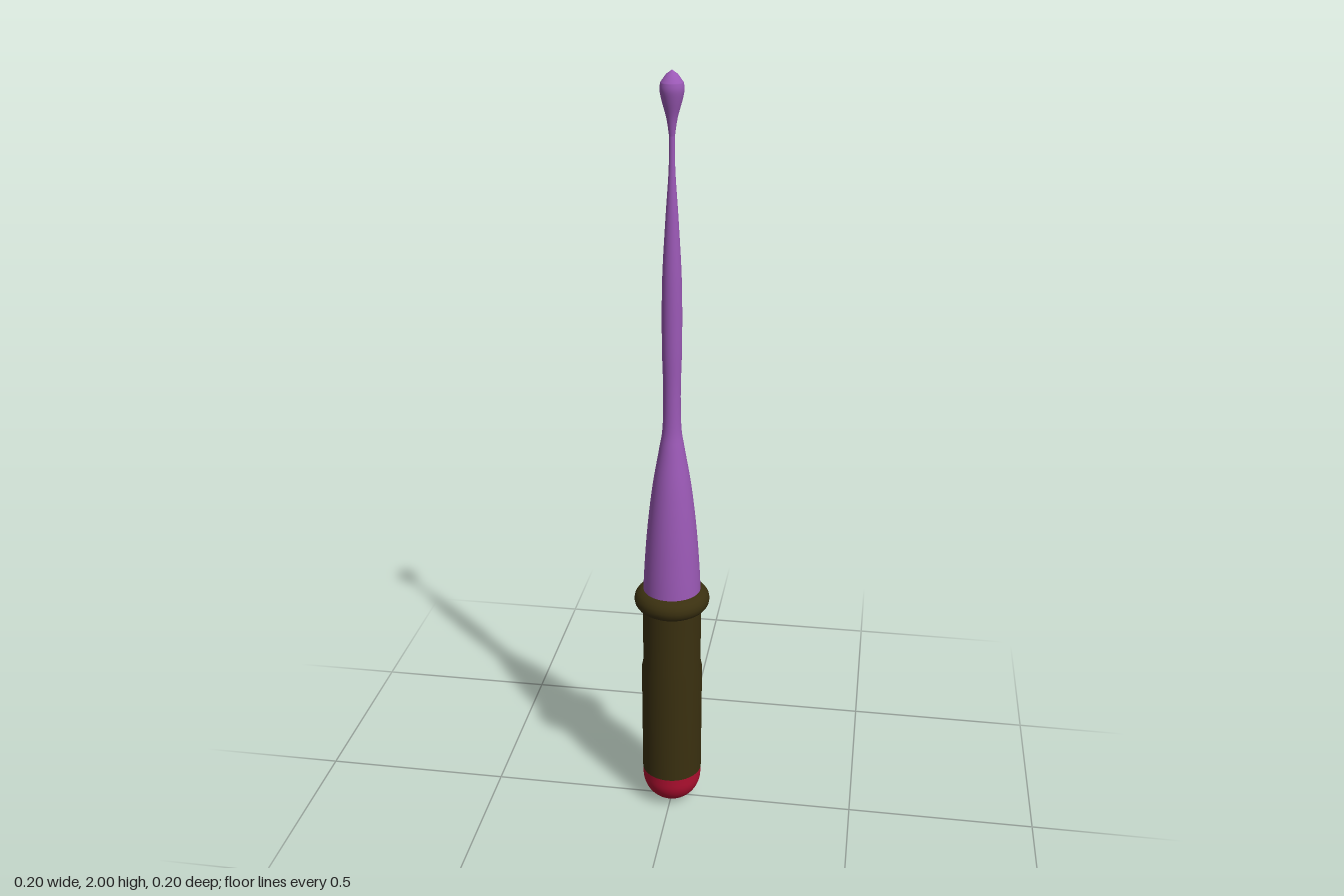
import * as THREE from 'three';

const SEGMENTS = 48;
const points = (list) => list.map(([r, y]) => new THREE.Vector2(r, y));

// Smooth profile through [radius, height] pairs
const smooth = (list, n) =>
  new THREE.SplineCurve(points(list)).getPoints(n).map((p) => p.setX(Math.max(p.x, 0)));

function lathe(name, profile, color) {
  const mesh = new THREE.Mesh(
    new THREE.LatheGeometry(profile, SEGMENTS),
    new THREE.MeshStandardMaterial({ color, side: THREE.DoubleSide })
  );
  mesh.name = name;
  return mesh;
}

export function createModel() {
  const model = new THREE.Group();
  model.name = 'slenderTool';
  const purple = 0x9b59b6, brown = 0x3a3010, red = 0xb01030;

  // Rounded end cap: an elliptical bowl with a short straight rim
  const cap = [];
  for (let i = 0; i <= 14; i++) {
    const a = (i / 14) * Math.PI / 2;
    cap.push(new THREE.Vector2(0.08 * Math.sin(a), 0.08 * (1 - Math.cos(a))));
  }
  cap.push(new THREE.Vector2(0.081, 0.1));
  model.add(lathe('endCap', cap, red));

  // Straight grip
  model.add(lathe('grip', points([[0.081, 0.1], [0.082, 0.42], [0.078, 0.44], [0.077, 0.64]]), brown));

  // Round collar between grip and shaft
  const collar = new THREE.Mesh(
    new THREE.TorusGeometry(0.07, 0.03, 16, SEGMENTS),
    new THREE.MeshStandardMaterial({ color: brown })
  );
  collar.name = 'collar';
  collar.rotation.x = Math.PI / 2;
  collar.position.y = 0.632;
  model.add(collar);

  // Tapering shaft with a slight swelling in the middle
  model.add(lathe('shaft', smooth([
    [0.077, 0.63], [0.073, 0.72], [0.064, 0.84], [0.05, 0.96], [0.033, 1.06], [0.024, 1.12],
    [0.022, 1.22], [0.025, 1.34], [0.024, 1.5], [0.016, 1.65], [0.008, 1.77], [0.007, 1.85]
  ], 60), purple));

  // Teardrop tip
  model.add(lathe('tip', [
    ...smooth([[0.007, 1.85], [0.013, 1.89], [0.024, 1.93], [0.029, 1.955], [0.027, 1.972]], 20),
    new THREE.Vector2(0.014, 1.99), new THREE.Vector2(0, 2)
  ], purple));

  return model;
}
